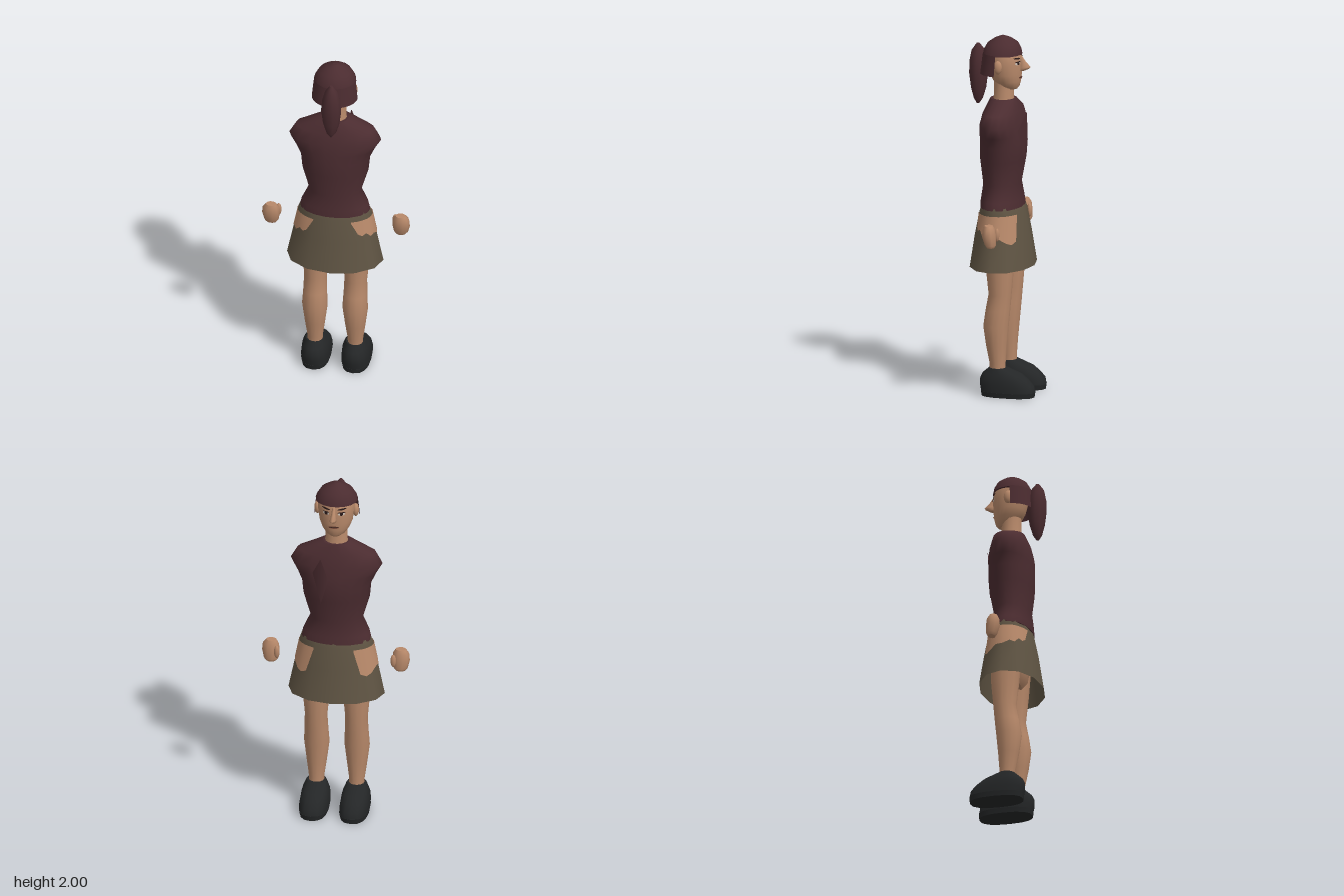
import * as THREE from 'three';

const mat = (name, color, side = THREE.FrontSide) => {
  const m = new THREE.MeshStandardMaterial({ color, side });
  m.name = name;
  return m;
};

// Surface through rings [y, centreX, radiusX, zMin, zMax, exponent], optionally a partial arc
function loft(rings, sides = 16, { cap = true, from = 0, to = 360 } = {}) {
  const pos = [], idx = [], w = sides + 1;
  const full = to - from === 360;
  const count = full ? sides : w;
  const ringPoints = ([y, cx, rx, z0, z1, n = 2]) => {
    const out = [];
    for (let j = 0; j < count; j++) {
      const t = THREE.MathUtils.degToRad(from + (to - from) * j / sides);
      const p = v => Math.sign(v) * Math.pow(Math.abs(v), 2 / n);
      out.push(cx + rx * p(Math.cos(t)), y, (z0 + z1) / 2 + (z1 - z0) / 2 * p(Math.sin(t)));
    }
    return out;
  };
  rings.forEach(r => pos.push(...ringPoints(r)));
  for (let i = 0; i < rings.length - 1; i++) {
    for (let j = 0; j < sides; j++) {
      const k = (j + 1) % count;
      const a = i * count + j, b = i * count + k, c = a + count, d = b + count;
      idx.push(a, c, b, b, c, d);
    }
  }
  if (cap && full) {
    [rings[0], rings[rings.length - 1]].forEach((r, top) => {
      const s = pos.length / 3;
      pos.push(...ringPoints(r), r[1], r[0], (r[3] + r[4]) / 2);
      for (let j = 0; j < sides; j++) {
        const k = (j + 1) % sides;
        if (top) idx.push(s + sides, s + k, s + j);
        else idx.push(s + sides, s + j, s + k);
      }
    });
  }
  return finish(pos, idx);
}

function finish(pos, idx) {
  const g = new THREE.BufferGeometry();
  g.setAttribute('position', new THREE.Float32BufferAttribute(pos, 3));
  g.setIndex(idx);
  g.computeVertexNormals();
  return g;
}

export function createModel() {
  const root = new THREE.Group();
  root.name = 'woman';
  const skin = mat('skin', 0xb8896a);
  const skinPanel = mat('hip skin', 0xb8896a, THREE.DoubleSide);
  const maroon = mat('maroon', 0x4b2c30, THREE.DoubleSide);
  const olive = mat('olive', 0x5f5443, THREE.DoubleSide);
  const black = mat('black', 0x242627);
  const dark = mat('dark brown', 0x2a1a18, THREE.DoubleSide);
  const white = mat('eye white', 0xc8beb4, THREE.DoubleSide);
  const lip = mat('lip', 0x84503f, THREE.DoubleSide);
  const add = (name, geo, material) => {
    const m = new THREE.Mesh(geo, material);
    m.name = name;
    root.add(m);
    return m;
  };

  // Shirt, ending in sleeveless shoulder points
  add('shirt', loft([
    [1.05, 0, 0.195, -0.105, 0.13], [1.09, 0, 0.185, -0.1, 0.128],
    [1.178, 0, 0.145, -0.088, 0.118], [1.315, 0, 0.185, -0.112, 0.132],
    [1.4, 0, 0.193, -0.118, 0.133], [1.46, 0, 0.22, -0.112, 0.13],
    [1.52, 0, 0.255, -0.103, 0.125], [1.585, 0, 0.218, -0.09, 0.11],
    [1.65, 0, 0.075, -0.065, 0.082]], 18), maroon);
  // Pointed flap on the chest
  add('chestFlap', finish([0.065, 1.595, -0.143, 0.115, 1.49, -0.105,
    0.065, 1.315, -0.13, 0.025, 1.46, -0.125], [0, 1, 2, 0, 2, 3]), maroon);

  // Skirt and hips
  add('skirt', loft([
    [0.717, 0, 0.268, -0.167, 0.188], [0.9, 0, 0.23, -0.138, 0.16],
    [1.03, 0, 0.204, -0.112, 0.133], [1.063, 0, 0.192, -0.1, 0.122]], 12, { cap: false }), olive);
  add('pelvis', loft([
    [0.74, 0, 0.1, -0.06, 0.06], [0.79, 0, 0.18, -0.09, 0.09],
    [0.92, 0, 0.19, -0.1, 0.115], [1.05, 0, 0.18, -0.09, 0.115]]), skin);

  // Bare hip areas over the skirt: [angle, lower edge]
  const hipEdge = [[-58, 1.01], [-50, 0.88], [-40, 0.865], [-30, 0.875], [-15, 0.9], [0, 0.9],
    [15, 0.92], [25, 0.912], [35, 0.94], [43, 0.93], [50, 0.945], [60, 1.015]];
  for (const s of [1, -1]) {
    const pos = [], idx = [];
    hipEdge.forEach(([deg, low], i) => {
      const t = THREE.MathUtils.degToRad(deg);
      for (const y of [low, 1.022]) {
        const k = (1.03 - y) / 0.313;
        const rx = 0.207 + 0.062 * k, rz = 0.126 + 0.055 * k;
        pos.push(s * rx * Math.cos(t), y, 0.0105 + rz * Math.sin(t));
      }
      if (i) {
        const a = 2 * i - 2;
        if (s > 0) idx.push(a, a + 1, a + 2, a + 2, a + 1, a + 3);
        else idx.push(a, a + 2, a + 1, a + 2, a + 3, a + 1);
      }
    });
    add('bareHip', finish(pos, idx), skinPanel);
  }

  // Legs, shoes and hands
  for (const s of [1, -1]) {
    const x = s * 0.112;
    add('leg', loft([
      [0.12, x, 0.043, -0.035, 0.053], [0.18, x, 0.043, -0.033, 0.055],
      [0.28, x, 0.057, -0.04, 0.075], [0.39, x, 0.071, -0.05, 0.09],
      [0.48, x, 0.066, -0.059, 0.077], [0.57, x, 0.063, -0.067, 0.06],
      [0.72, x, 0.077, -0.08, 0.076], [0.9, x, 0.082, -0.085, 0.09]], 14), skin);
    add('sole', loft([
      [0, x, 0.077, -0.2, 0.1, 2.5], [0.028, x, 0.082, -0.204, 0.105, 2.5]], 16), black);
    add('shoe', loft([
      [0.028, x, 0.08, -0.202, 0.103, 2.5], [0.06, x, 0.081, -0.197, 0.11, 2.4],
      [0.095, x, 0.077, -0.165, 0.11, 2.3], [0.125, x, 0.069, -0.13, 0.095],
      [0.157, x, 0.054, -0.045, 0.058]], 16), black);
    add('hand', loft([
      [0.885, s * 0.36, 0.028, -0.042, 0.0], [0.9, s * 0.36, 0.04, -0.05, 0.01],
      [0.945, s * 0.362, 0.049, -0.05, 0.025], [0.985, s * 0.362, 0.045, -0.045, 0.024],
      [1.008, s * 0.36, 0.029, -0.032, 0.014]], 10), skin);
    const thumb = add('thumb', new THREE.SphereGeometry(1, 8, 8), skin);
    thumb.scale.set(0.016, 0.038, 0.014);
    thumb.position.set(s * 0.324, 0.95, -0.046);
  }

  // Neck and head
  add('neck', loft([[1.62, 0, 0.07, -0.055, 0.075], [1.66, 0, 0.062, -0.048, 0.062],
    [1.75, 0, 0.06, -0.045, 0.062]], 14), skin);
  const headRings = [
    [1.705, 0, 0.03, -0.068, 0.0], [1.72, 0, 0.055, -0.08, 0.03],
    [1.75, 0, 0.077, -0.088, 0.065], [1.79, 0, 0.092, -0.092, 0.085],
    [1.85, 0, 0.101, -0.094, 0.1], [1.91, 0, 0.101, -0.088, 0.1], [1.95, 0, 0.08, -0.06, 0.08]];
  add('head', loft(headRings, 24), skin);
  add('nose', loft([[1.81, 0, 0.016, -0.115, -0.075], [1.822, 0, 0.021, -0.138, -0.075],
    [1.832, 0, 0.017, -0.145, -0.075], [1.86, 0, 0.012, -0.118, -0.075],
    [1.893, 0, 0.008, -0.095, -0.075]], 8), skin);
  for (const s of [1, -1]) {
    const ear = add('ear', new THREE.SphereGeometry(1, 10, 8), skin);
    ear.scale.set(0.018, 0.038, 0.024);
    ear.position.set(s * 0.106, 1.84, 0.012);
  }

  // Facial features follow the front of the head
  const faceZ = (x, y) => {
    const i = headRings.findIndex(r => r[0] > y), a = headRings[i - 1], b = headRings[i];
    const v = k => THREE.MathUtils.lerp(a[k], b[k], (y - a[0]) / (b[0] - a[0]));
    const c = (v(3) + v(4)) / 2;
    return c - (v(4) - v(3)) / 2 * Math.sqrt(Math.max(0, 1 - (x / v(2)) ** 2));
  };
  const feature = (name, cx, cy, rx, ry, tilt, lift, material) => {
    const g = new THREE.CircleGeometry(1, 12);
    const p = g.attributes.position;
    for (let i = 0; i < p.count; i++) {
      const x = cx + p.getX(i) * rx, y = cy + p.getY(i) * ry + p.getX(i) * tilt;
      p.setXYZ(i, x, y, faceZ(x, y) - lift);
    }
    g.setIndex([...g.index.array].reverse());
    g.computeVertexNormals();
    add(name, g, material);
  };
  for (const s of [1, -1]) {
    feature('eyeWhite', s * 0.043, 1.856, 0.019, 0.009, 0, 0.002, white);
    feature('iris', s * 0.043, 1.856, 0.009, 0.009, 0, 0.004, dark);
    feature('eyelid', s * 0.043, 1.865, 0.021, 0.003, 0, 0.004, dark);
    feature('brow', s * 0.045, 1.884, 0.025, 0.005, s * 0.003, 0.003, dark);
  }
  feature('mouth', 0, 1.772, 0.03, 0.008, 0, 0.003, lip);
  feature('mouthLine', 0, 1.773, 0.028, 0.002, 0, 0.005, dark);

  // Hair: crown, back section and ponytail
  add('hairCrown', loft([
    [1.9, 0, 0.117, -0.095, 0.122], [1.925, 0, 0.11, -0.09, 0.116],
    [1.96, 0, 0.088, -0.072, 0.096], [1.985, 0, 0.05, -0.038, 0.06],
    [2, 0, 0.012, 0.002, 0.024]], 18), maroon);
  add('hairBack', loft([
    [1.79, 0, 0.128, -0.1, 0.138], [1.85, 0, 0.122, -0.097, 0.13],
    [1.905, 0, 0.116, -0.094, 0.122]], 14, { from: 5, to: 175 }), maroon);
  add('ponytail', loft([
    [1.61, 0, 0.006, 0.148, 0.162], [1.64, 0, 0.028, 0.128, 0.178],
    [1.7, 0, 0.046, 0.11, 0.193], [1.78, 0, 0.056, 0.1, 0.203],
    [1.85, 0, 0.05, 0.102, 0.202], [1.91, 0, 0.034, 0.115, 0.19],
    [1.948, 0, 0.008, 0.145, 0.163]], 10), maroon);
  return root;
}
